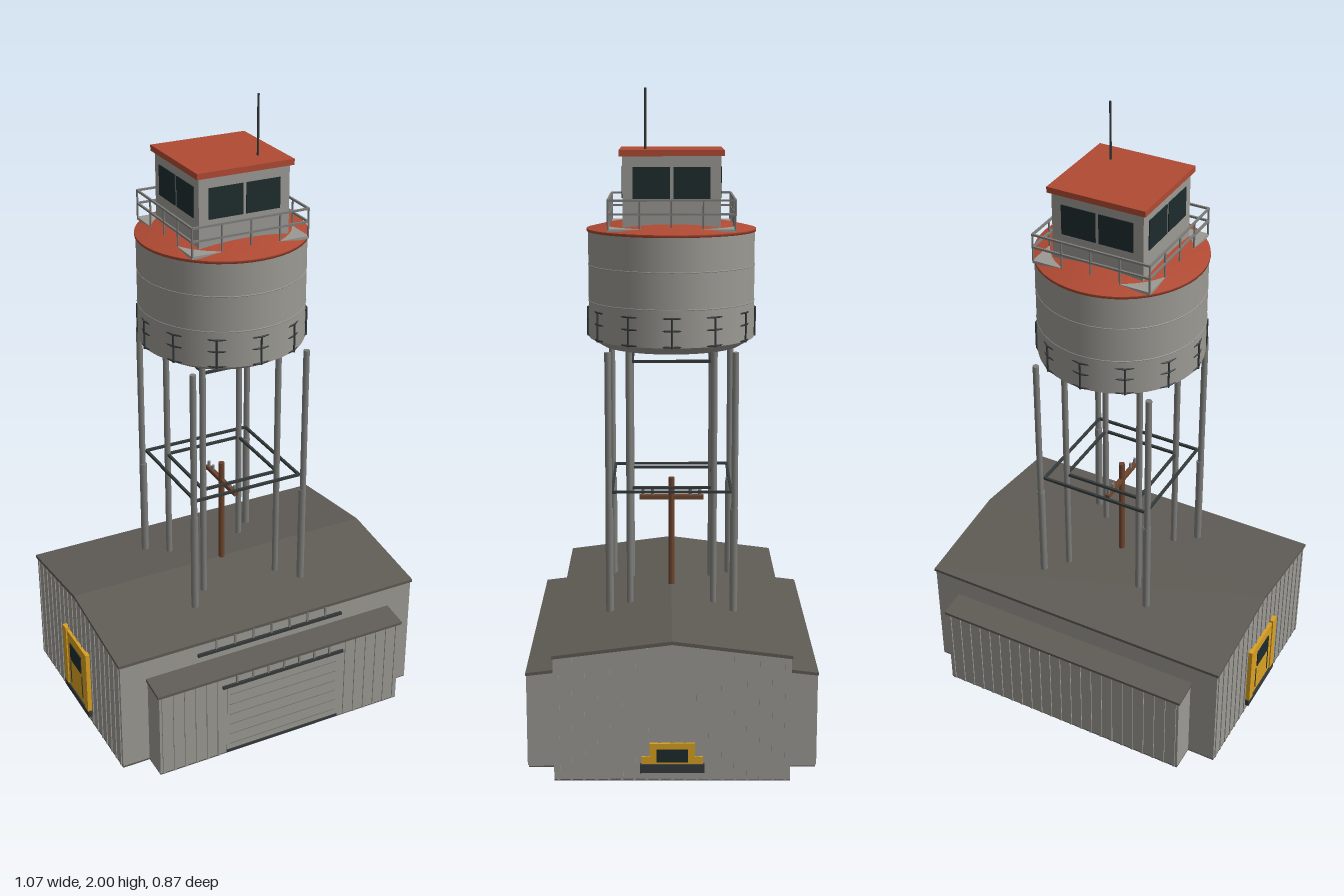
import * as THREE from 'three';

const mat = (name, color, side = THREE.FrontSide) => {
  const m = new THREE.MeshStandardMaterial({ color, side });
  m.name = name;
  return m;
};

export function createModel() {
  const root = new THREE.Group();
  root.name = 'waterTowerLookout';
  const wall = mat('pale grey metal', 0x9b9993);
  const roof = mat('dark roof sheet', 0x5f5b55);
  const red = mat('rust red', 0xb04a33);
  const steel = mat('leg steel', 0x7d7e7b);
  const dark = mat('dark iron', 0x353a3a);
  const glass = mat('window glass', 0x1d2b2d);
  const yellow = mat('yellow paint', 0xd9a021);
  const brown = mat('brown timber', 0x6e442d);

  const group = (name, parent = root) => {
    const g = new THREE.Group();
    g.name = name;
    parent.add(g);
    return g;
  };
  const add = (parent, name, geo, m, x = 0, y = 0, z = 0) => {
    const mesh = new THREE.Mesh(geo, m);
    mesh.name = name;
    mesh.position.set(x, y, z);
    parent.add(mesh);
    return mesh;
  };
  // Box given by its limits on each axis
  const block = (p, name, m, x0, x1, y0, y1, z0, z1) =>
    add(p, name, new THREE.BoxGeometry(x1 - x0, y1 - y0, z1 - z0), m,
      (x0 + x1) / 2, (y0 + y1) / 2, (z0 + z1) / 2);
  // Upright rod
  const rod = (p, name, m, r, x, y0, y1, z, sides = 10) =>
    add(p, name, new THREE.CylinderGeometry(r, r, y1 - y0, sides), m, x, (y0 + y1) / 2, z);
  // Symmetric (z, y) profile drawn out along x
  const along = (p, name, m, points, length) => {
    const shape = new THREE.Shape(points.map(([a, b]) => new THREE.Vector2(a, b)));
    const geo = new THREE.ExtrudeGeometry(shape, { depth: length, bevelEnabled: false });
    geo.translate(0, 0, -length / 2).rotateY(Math.PI / 2);
    return add(p, name, geo, m);
  };
  // Square frame of four bars
  const frame = (p, name, m, half, y, t) => {
    for (const s of [-1, 1]) {
      block(p, name, m, -half, half, y - t, y + t, s * half - t, s * half + t);
      block(p, name, m, s * half - t, s * half + t, y - t, y + t, -half, half);
    }
  };

  // Hall with gabled roof, and a lean-to on both long sides
  const hall = group('hall');
  along(hall, 'hallWalls', wall,
    [[-0.347, 0.005], [0.347, 0.005], [0.347, 0.385], [0, 0.428], [-0.347, 0.385]], 1.04);
  along(hall, 'hallRoof', roof,
    [[-0.35, 0.382], [0, 0.426], [0.35, 0.382], [0.35, 0.392], [0, 0.437], [-0.35, 0.392]], 1.05);
  along(hall, 'leanToWalls', wall,
    [[-0.43, 0.005], [0.43, 0.005], [0.43, 0.297], [0.34, 0.307], [-0.34, 0.307], [-0.43, 0.297]], 0.86);
  along(hall, 'leanToRoof', roof,
    [[-0.435, 0.295], [-0.34, 0.306], [0.34, 0.306], [0.435, 0.295], [0.435, 0.304],
      [0.34, 0.316], [-0.34, 0.316], [-0.435, 0.304]], 0.87);
  block(hall, 'hallFloor', roof, -0.52, 0.52, 0.002, 0.008, -0.347, 0.347);
  block(hall, 'leanToFloor', roof, -0.43, 0.43, 0.0025, 0.007, -0.43, 0.43);
  const patch = add(hall, 'earthPatch', new THREE.CylinderGeometry(0.1, 0.1, 0.006, 24), brown, 0, 0.003, 0);
  patch.scale.z = 0.8;

  // Wall ribs
  const ribs = group('wallRibs', hall);
  for (const s of [-1, 1]) {
    for (let i = 0; i <= 22; i++) {
      const x = -0.418 + i * 0.038;
      if (s < 0 || Math.abs(x) > 0.21)
        block(ribs, 'leanToRib', wall, x - 0.004, x + 0.004, 0.005, 0.296, s * 0.431 - 0.003, s * 0.431 + 0.003);
    }
    for (let i = -9; i <= 9; i++) {
      const z = i * 0.037;
      block(ribs, 'gableRib', wall, s * 0.52 - 0.003, s * 0.52 + 0.003, 0.005,
        0.425 - Math.abs(z) * 0.125, z - 0.004, z + 0.004);
    }
  }

  // Roller door with hanging rails
  const door = group('rollerDoor', hall);
  block(door, 'doorPanel', wall, -0.2, 0.2, 0.01, 0.26, 0.428, 0.433);
  for (let i = 1; i <= 6; i++)
    block(door, 'doorSeam', steel, -0.19, 0.19, 0.038 * i, 0.038 * i + 0.003, 0.431, 0.4345);
  block(door, 'doorSill', dark, -0.2, 0.2, 0.008, 0.018, 0.428, 0.435);
  block(door, 'lowerRail', dark, -0.215, 0.215, 0.258, 0.268, 0.428, 0.437);
  block(door, 'upperRail', dark, -0.26, 0.255, 0.34, 0.35, 0.345, 0.355);
  for (let i = -3; i <= 3; i++) {
    block(door, 'lowerHanger', steel, i * 0.055 - 0.003, i * 0.055 + 0.003, 0.265, 0.297, 0.43, 0.435);
    block(door, 'upperHanger', steel, i * 0.065 - 0.003, i * 0.065 + 0.003, 0.347, 0.385, 0.346, 0.352);
  }

  // Yellow vehicle nose on the left gable
  const nose = group('vehicleNose');
  block(nose, 'noseBody', yellow, 0.515, 0.528, 0.055, 0.08, -0.09, 0.09);
  block(nose, 'noseCab', yellow, 0.515, 0.528, 0.075, 0.122, -0.067, 0.067);
  block(nose, 'noseWindow', glass, 0.526, 0.53, 0.064, 0.104, -0.046, 0.046);
  block(nose, 'noseBumper', dark, 0.515, 0.534, 0.032, 0.058, -0.095, 0.095);

  // Tall yellow vehicle rear on the right gable
  const tail = group('vehicleTail');
  block(tail, 'tailBody', yellow, -0.53, -0.515, 0.035, 0.262, -0.09, 0.09);
  block(tail, 'tailWindow', glass, -0.533, -0.529, 0.165, 0.228, -0.045, 0.045);
  for (const s of [-1, 1]) {
    block(tail, 'tailPost', yellow, -0.534, -0.52, 0.05, 0.27, s * 0.085 - 0.014, s * 0.085 + 0.014);
    block(tail, 'tailSeam', dark, -0.532, -0.529, 0.07, 0.155, s * 0.048 - 0.002, s * 0.048 + 0.002);
  }
  block(tail, 'tailBumper', dark, -0.534, -0.515, 0.03, 0.052, -0.103, 0.103);

  // Eight legs with sleeves and bracing
  const legs = group('towerLegs');
  for (const sx of [-1, 1]) for (const sz of [-1, 1]) {
    rod(legs, 'outerLeg', steel, 0.01, sx * 0.192, 0.39, 1.225, sz * 0.192);
    rod(legs, 'outerSleeve', steel, 0.012, sx * 0.191, 0.39, 0.74, sz * 0.191);
    rod(legs, 'innerLeg', steel, 0.01, sx * 0.13, 0.4, 1.24, sz * 0.13);
  }
  frame(legs, 'outerBrace', dark, 0.182, 0.79, 0.004);
  frame(legs, 'innerBrace', dark, 0.13, 0.79, 0.004);
  frame(legs, 'upperBrace', dark, 0.12, 1.185, 0.004);

  // Timber utility pole
  const pole = group('utilityPole');
  rod(pole, 'poleShaft', brown, 0.01, 0, 0.42, 0.79, 0);
  block(pole, 'crossArm', brown, -0.007, 0.007, 0.718, 0.732, -0.102, 0.102);
  for (const z of [-0.09, -0.06, 0.06, 0.09]) rod(pole, 'insulator', steel, 0.005, 0, 0.73, 0.75, z, 8);

  // Tank shell, lathed in pieces to keep its edges sharp
  const tank = group('tank');
  const lathe = (name, m, pts) =>
    add(tank, name, new THREE.LatheGeometry(pts.map(([r, y]) => new THREE.Vector2(r, y)), 48), m);
  lathe('tankBase', wall, [[0, 1.222], [0.215, 1.222]]);
  lathe('tankBevel', wall, [[0.215, 1.222], [0.256, 1.247]]);
  lathe('tankShell', wall, [[0.256, 1.247], [0.256, 1.575]]);
  lathe('roofRim', red, [[0.25, 1.572], [0.26, 1.572], [0.26, 1.58]]);
  const dome = [];
  for (let i = 0; i <= 8; i++) {
    const r = 0.26 * (1 - i / 8);
    dome.push([r, 1.58 + 0.033 * (1 - (r / 0.26) ** 2)]);
  }
  lathe('tankRoof', red, dome);
  for (const y of [1.36, 1.47])
    add(tank, 'tankSeam', new THREE.TorusGeometry(0.2555, 0.002, 6, 48), wall, 0, y, 0).rotation.x = Math.PI / 2;

  // Guard rail around the foot of the tank
  const guard = group('tankRail');
  for (const y of [1.25, 1.298, 1.335])
    add(guard, 'tankRailRing', new THREE.TorusGeometry(0.259, 0.003, 6, 12), dark, 0, y, 0).rotation.x = Math.PI / 2;
  for (let i = 0; i < 12; i++) {
    const a = i * Math.PI / 6;
    rod(guard, 'tankRailPost', dark, 0.003, 0.259 * Math.cos(a), 1.245, 1.337, 0.259 * Math.sin(a), 6);
  }

  // Walkway and its railing
  const deck = group('walkway');
  block(deck, 'deckPlate', wall, -0.19, 0.19, 1.583, 1.5915, -0.19, 0.19);
  for (const y of [1.635, 1.675]) frame(deck, 'deckRail', steel, 0.188, y, 0.003);
  for (const s of [-1, 1]) for (const t of [-1, -0.5, 0, 0.5]) {
    rod(deck, 'deckPost', steel, 0.003, s * 0.188, 1.588, 1.677, s * t * 0.188, 6);
    rod(deck, 'deckPost', steel, 0.003, -s * t * 0.188, 1.588, 1.677, s * 0.188, 6);
  }

  // Lookout cabin, two panes on every side
  const cabin = group('cabin');
  block(cabin, 'cabinBody', wall, -0.146, 0.146, 1.59, 1.803, -0.146, 0.146);
  block(cabin, 'cabinRoof', red, -0.156, 0.156, 1.802, 1.82, -0.156, 0.156);
  for (let k = 0; k < 4; k++) {
    const side = group('cabinWindows', cabin);
    side.rotation.y = k * Math.PI / 2;
    for (const s of [-1, 1])
      block(side, 'windowPane', glass, s * 0.06 - 0.055, s * 0.06 + 0.055, 1.677, 1.77, 0.144, 0.149);
  }
  rod(cabin, 'antenna', dark, 0.0035, 0.078, 1.815, 2.0, 0.078, 8);

  return root;
}
